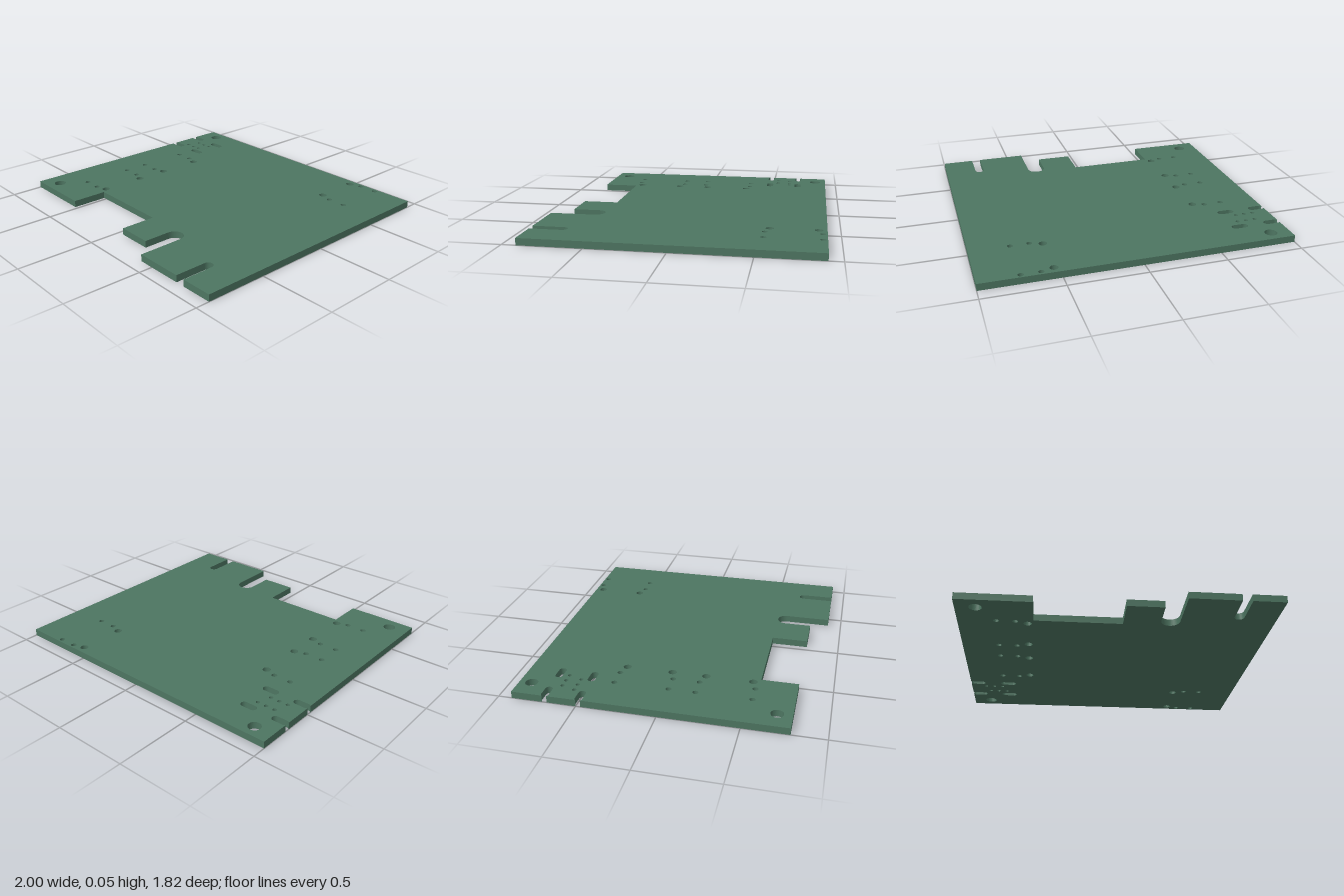
import * as THREE from 'three';

const THICKNESS = 0.045;
const SLOT_R = 0.0235;
const Q = Math.PI / 2;

// Plan drawn in (x, -z), so that it can be laid flat after extrusion
function boardOutline() {
  const s = new THREE.Shape();
  s.moveTo(1, 0.913);
  s.lineTo(-1, 0.913);

  // Two rounded slots that break through the left edge
  for (const z of [-0.7, -0.485]) {
    const cx = -0.982;
    const a = Math.acos((-1 - cx) / SLOT_R);
    s.absarc(cx, -z, SLOT_R, a, Q, true);
    s.absarc(-0.918, -z, SLOT_R, Q, -Q, true);
    s.absarc(cx, -z, SLOT_R, -Q, -a, true);
  }

  // Front edge with the wide rectangular notch
  const corners = [[-1, 0.788], [-0.523, 0.788], [-0.523, 0.552], [0.043, 0.552], [0.043, 0.788], [0.28, 0.788]];
  for (const [x, z] of corners) s.lineTo(x, -z);

  // Round-ended notches, wide and narrow
  s.absarc(0.34, -0.612, 0.06, Math.PI, 0, true);
  s.lineTo(0.4, -0.91);
  s.lineTo(0.727, -0.91);
  s.absarc(0.758, -0.701, 0.031, Math.PI, 0, true);
  s.lineTo(0.789, -0.91);
  s.lineTo(1, -0.91);
  s.closePath();
  return s;
}

export function createModel() {
  const group = new THREE.Group();
  group.name = 'circuitBoard';
  const shape = boardOutline();

  const hole = (x, z, r) => {
    const p = new THREE.Path();
    p.absarc(x, -z, r, 0, Math.PI * 2, true);
    shape.holes.push(p);
  };

  // Mounting holes
  hole(-0.873, -0.834, 0.04);
  hole(-0.873, 0.695, 0.04);

  // Component footprints: rows of one medium hole and two small ones
  for (const [z, dz] of [[-0.334, 0.024], [0.013, -0.024], [0.182, 0.026], [0.532, -0.025]]) {
    hole(-0.559, z + dz * -1 * -1, 0.026);
    for (const x of [-0.757, -0.637]) hole(x, z, 0.018);
  }
  for (const [z, dz] of [[-0.885, 0.024], [-0.535, -0.026]]) {
    hole(0.543, z + dz, 0.026);
    for (const x of [0.623, 0.743]) hole(x, z, 0.018);
  }

  // Connector pin holes in two staggered rows
  for (const [x0, z] of [[-0.863, -0.634], [-0.893, -0.546]]) {
    for (let i = 0; i < 3; i++) hole(x0 + i * 0.061, z, 0.013);
  }

  // Closed connector slots
  for (const z of [-0.7, -0.485]) {
    const p = new THREE.Path();
    p.absarc(-0.756, -z, SLOT_R, -Q, -3 * Q, true);
    p.absarc(-0.692, -z, SLOT_R, Q, -Q, true);
    p.closePath();
    shape.holes.push(p);
  }

  const geometry = new THREE.ExtrudeGeometry(shape, { depth: THICKNESS, bevelEnabled: false, curveSegments: 24 });
  geometry.rotateX(-Q);

  const board = new THREE.Mesh(geometry, new THREE.MeshStandardMaterial({ color: 0x4d7561 }));
  board.name = 'board';
  group.add(board);
  return group;
}
